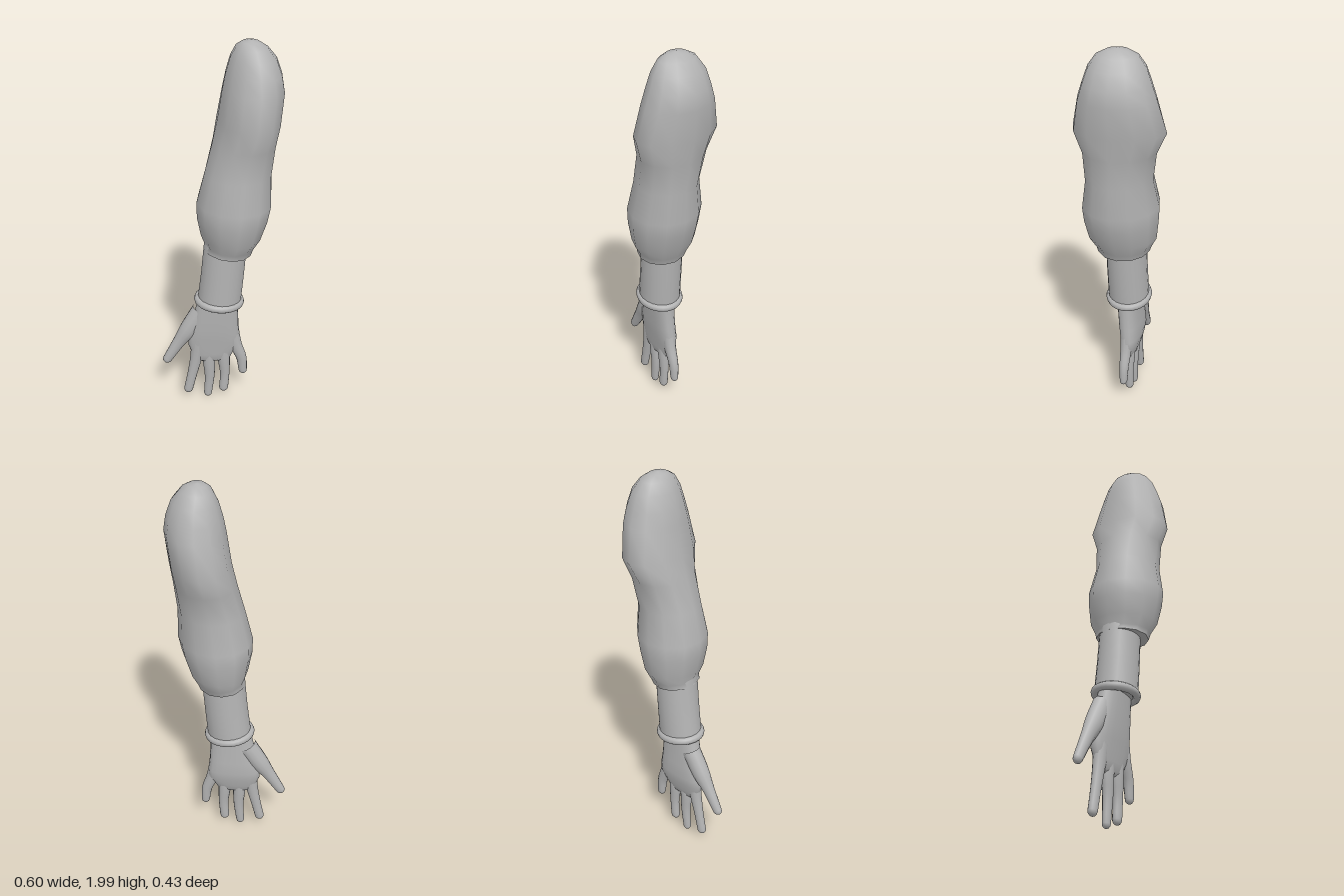
import * as THREE from 'three';

// Skins a list of rings (arrays of Vector3, listed from the shoulder downwards).
function skin(rings) {
  const n = rings[0].length;
  const positions = [];
  const index = [];
  for (const ring of rings) for (const p of ring) positions.push(p.x, p.y, p.z);
  for (let i = 0; i < rings.length - 1; i++) {
    for (let j = 0; j < n; j++) {
      const a = i * n + j;
      const b = i * n + (j + 1) % n;
      index.push(a, b, a + n, b, b + n, a + n);
    }
  }
  const geometry = new THREE.BufferGeometry();
  geometry.setAttribute('position', new THREE.Float32BufferAttribute(positions, 3));
  geometry.setIndex(index);
  geometry.computeVertexNormals();
  return geometry;
}

// Oval ring around a centre; u is its width direction in the xy plane.
function oval(cx, cy, cz, ux, uy, rx, rz, sides, power = 1) {
  const bend = (v) => Math.sign(v) * Math.abs(v) ** power;
  return Array.from({ length: sides }, (_, j) => {
    const a = (j / sides) * Math.PI * 2;
    const w = bend(Math.cos(a)) * rx;
    return new THREE.Vector3(cx + ux * w, cy + uy * w, cz + bend(Math.sin(a)) * rz);
  });
}

// Sections are [y, left x, right x, back z, front z, slope].
function body(sections, sides, power) {
  return skin(sections.map(([y, x0, x1, z0, z1, slope = 0]) =>
    oval((x0 + x1) / 2, y, (z0 + z1) / 2, 1, slope, (x1 - x0) / 2, (z1 - z0) / 2, sides, power)));
}

// Finger along points [x, y, radius], with a rounded tip.
function finger(points, z = -0.013, sides = 12) {
  const path = new THREE.CatmullRomCurve3(points.map(([x, y, r]) => new THREE.Vector3(x, y, r)));
  const rings = [];
  const ringAt = (t, advance, shrink) => {
    const p = path.getPoint(t);
    const d = path.getTangent(t).setZ(0).normalize();
    const r = p.z * shrink;
    rings.push(oval(p.x + d.x * p.z * advance, p.y + d.y * p.z * advance, z, -d.y, d.x, r, r * 0.88, sides));
  };
  for (let i = 0; i <= 10; i++) ringAt(i / 10, 0, 1);
  for (const a of [0.45, 0.9, 1.25, Math.PI / 2]) ringAt(1, Math.sin(a), Math.cos(a));
  return skin(rings);
}

export function createModel() {
  const arm = new THREE.Group();
  arm.name = 'arm';
  const grey = new THREE.MeshStandardMaterial({ color: 0xb4b4b4 });
  grey.name = 'grey';
  const add = (name, geometry, parent = arm) => {
    const mesh = new THREE.Mesh(geometry, grey);
    mesh.name = name;
    parent.add(mesh);
    return mesh;
  };

  // Padded sleeve with rounded shoulder, elbow pinch and gathered hem
  const hem = [0.955, -0.075, 0.163, -0.118, 0.14, -0.08];
  const sleeve = body([
    [2.0, 0.145, 0.145, 0.005, 0.005],
    [1.992, 0.105, 0.185, -0.045, 0.055],
    [1.97, 0.078, 0.22, -0.09, 0.098],
    [1.92, 0.052, 0.262, -0.127, 0.133],
    [1.85, 0.032, 0.288, -0.152, 0.158],
    [1.78, 0.018, 0.3, -0.175, 0.181],
    [1.63, -0.005, 0.283, -0.214, 0.215],
    [1.52, -0.03, 0.268, -0.165, 0.178],
    [1.37, -0.07, 0.252, -0.142, 0.175],
    [1.22, -0.108, 0.256, -0.17, 0.2],
    [1.14, -0.106, 0.24, -0.165, 0.195],
    [1.04, -0.087, 0.207, -0.155, 0.177],
    [0.985, -0.068, 0.175, -0.128, 0.145, -0.04],
    hem, hem,
    [0.955, 0.03, 0.06, -0.01, 0.01, -0.08],
  ], 12);
  // Slight twist of the sleeve towards its outer front
  const pos = sleeve.attributes.position;
  for (let i = 0; i < pos.count; i++) pos.setX(i, pos.getX(i) + 0.08 * pos.getZ(i));
  sleeve.computeVertexNormals();
  add('sleeve', sleeve);

  // Bare forearm, closed at the wrist
  const wrist = [0.645, -0.107, 0.118, -0.105, 0.102, -0.09];
  add('forearm', body([
    [1.0, -0.07, 0.147, -0.098, 0.103],
    [0.82, -0.086, 0.133, -0.101, 0.103, -0.06],
    wrist, wrist,
    [0.645, 0, 0.01, -0.005, 0.005, -0.09],
  ], 20));

  // Rounded band around the wrist
  const band = add('wristBand', new THREE.TorusGeometry(0.108, 0.022, 10, 28)
    .scale(1, 0.9, 1).rotateX(Math.PI / 2));
  band.position.set(0.005, 0.652, -0.002);
  band.rotation.z = -0.09;

  // Open hand: palm, four fingers and a thumb
  const hand = new THREE.Group();
  hand.name = 'hand';
  arm.add(hand);
  add('palm', body([
    [0.66, -0.105, 0.105, -0.058, 0.053],
    [0.58, -0.122, 0.105, -0.06, 0.048],
    [0.48, -0.148, 0.11, -0.066, 0.042],
    [0.41, -0.16, 0.118, -0.07, 0.033],
    [0.36, -0.157, 0.118, -0.062, 0.026],
    [0.31, -0.14, 0.085, -0.05, 0.02],
    [0.27, -0.118, 0.065, -0.037, 0.013],
    [0.255, -0.09, 0.04, -0.022, 0.0],
    [0.252, -0.03, -0.03, -0.012, -0.012],
  ], 20, 0.8), hand);

  const fingers = {
    indexFinger: [[-0.1, 0.4, 0.042], [-0.117, 0.28, 0.033], [-0.14, 0.17, 0.027], [-0.162, 0.07, 0.025]],
    middleFinger: [[-0.043, 0.4, 0.036], [-0.048, 0.26, 0.034], [-0.045, 0.15, 0.027], [-0.055, 0.032, 0.022]],
    ringFinger: [[0.028, 0.4, 0.036], [0.032, 0.27, 0.034], [0.038, 0.16, 0.026], [0.032, 0.064, 0.025]],
    littleFinger: [[0.07, 0.46, 0.04], [0.095, 0.35, 0.034], [0.128, 0.26, 0.028], [0.137, 0.176, 0.023]],
  };
  for (const [name, points] of Object.entries(fingers)) add(name, finger(points), hand);
  add('thumb', finger([[-0.085, 0.58, 0.052], [-0.155, 0.465, 0.049],
    [-0.205, 0.39, 0.035], [-0.272, 0.278, 0.025]], -0.018), hand);

  return arm;
}
